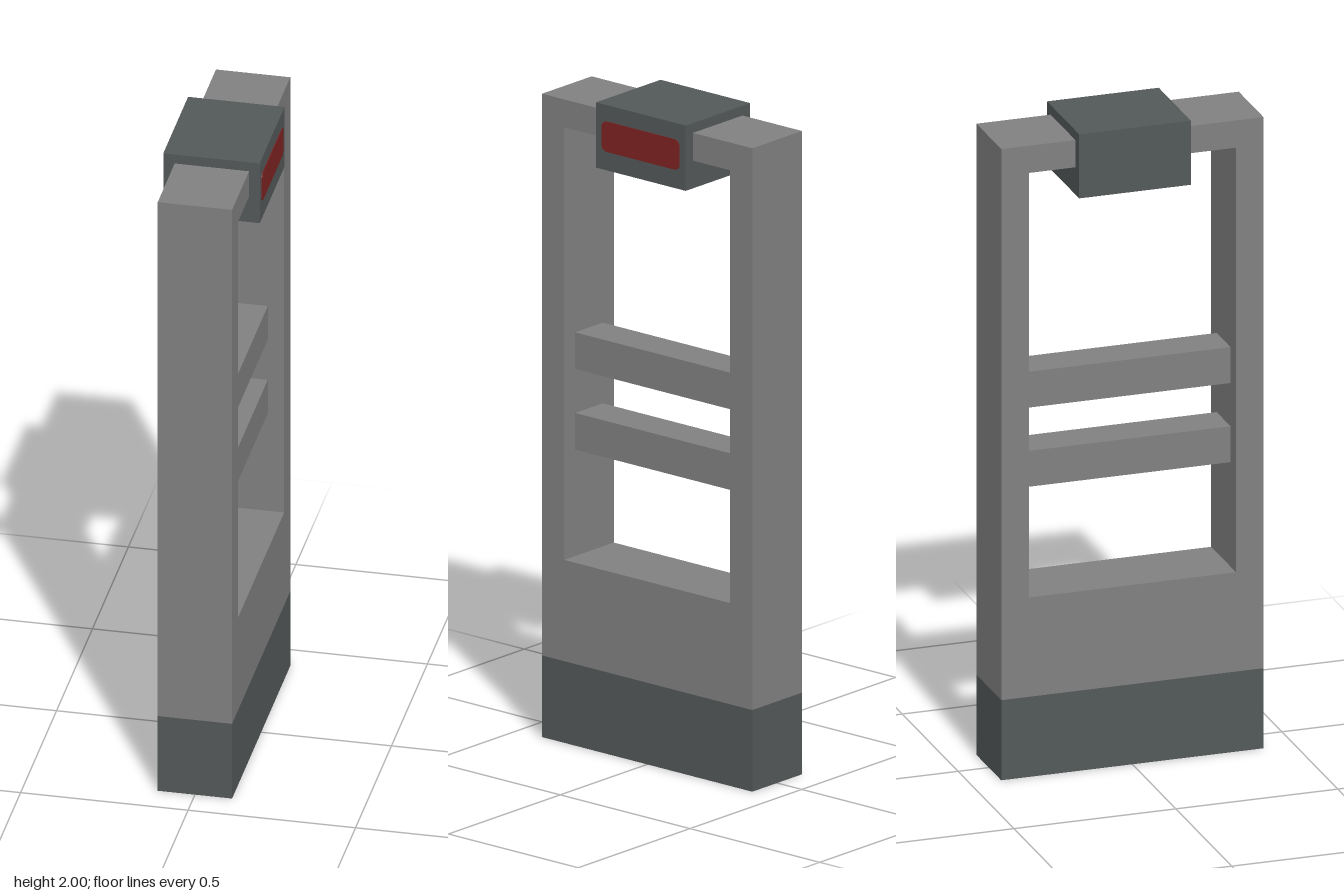
import * as THREE from 'three';

const mat = (name, color) => {
  const m = new THREE.MeshStandardMaterial({ color });
  m.name = name;
  return m;
};

export function createModel() {
  const grey = mat('frame grey', 0x808080);
  const dark = mat('dark slate', 0x535858);
  const red = mat('indicator red', 0x7e2222);
  const model = new THREE.Group();
  model.name = 'gatePanel';

  const add = (name, geometry, material) => {
    const mesh = new THREE.Mesh(geometry, material);
    mesh.name = name;
    model.add(mesh);
    return mesh;
  };
  // Box given by its limits on each axis
  const box = (name, [x0, x1], [y0, y1], [z0, z1], material) =>
    add(name, new THREE.BoxGeometry(x1 - x0, y1 - y0, z1 - z0), material)
      .position.set((x0 + x1) / 2, (y0 + y1) / 2, (z0 + z1) / 2);
  // Side outline (x of the shape becomes -z) extruded towards +x
  const extrudeSide = (shape, depth) =>
    new THREE.ExtrudeGeometry(shape, { depth, bevelEnabled: false, curveSegments: 6 }).rotateY(Math.PI / 2);
  const rect = (Type, x, y0, y1) => new Type([[-x, y0], [x, y0], [x, y1], [-x, y1]].map(p => new THREE.Vector2(...p)));

  // Foot and upright frame with one tall opening
  const halfX = 0.111, halfZ = 0.405;
  box('base', [-halfX, halfX], [0, 0.25], [-halfZ, halfZ], dark);
  const outline = rect(THREE.Shape, halfZ, 0.25, 1.97);
  outline.holes.push(rect(THREE.Path, 0.32, 0.56, 1.885));
  add('frame', extrudeSide(outline, halfX * 2), grey).position.x = -halfX;

  // Narrower rails across the opening
  [['upperRail', 1.133, 1.245], ['lowerRail', 0.886, 0.998]].forEach(([name, y0, y1]) =>
    box(name, [-0.062, 0.062], [y0, y1], [-0.32, 0.32], grey));

  // Head housing clamped over the top bar
  box('headHousing', [-0.145, 0.143], [1.8, 2], [-0.176, 0.169], dark);

  // Rounded indicator window on the left face of the head
  const w = 0.15, y0 = 1.857, y1 = 1.95, r = 0.02;
  const pane = new THREE.Shape();
  pane.absarc(w - r, y0 + r, r, -Math.PI / 2, 0);
  pane.absarc(w - r, y1 - r, r, 0, Math.PI / 2);
  pane.absarc(-w + r, y1 - r, r, Math.PI / 2, Math.PI);
  pane.absarc(-w + r, y0 + r, r, Math.PI, Math.PI * 1.5);
  add('indicatorLight', extrudeSide(pane, 0.004), red).position.set(0.141, 0, -0.003);

  return model;
}
